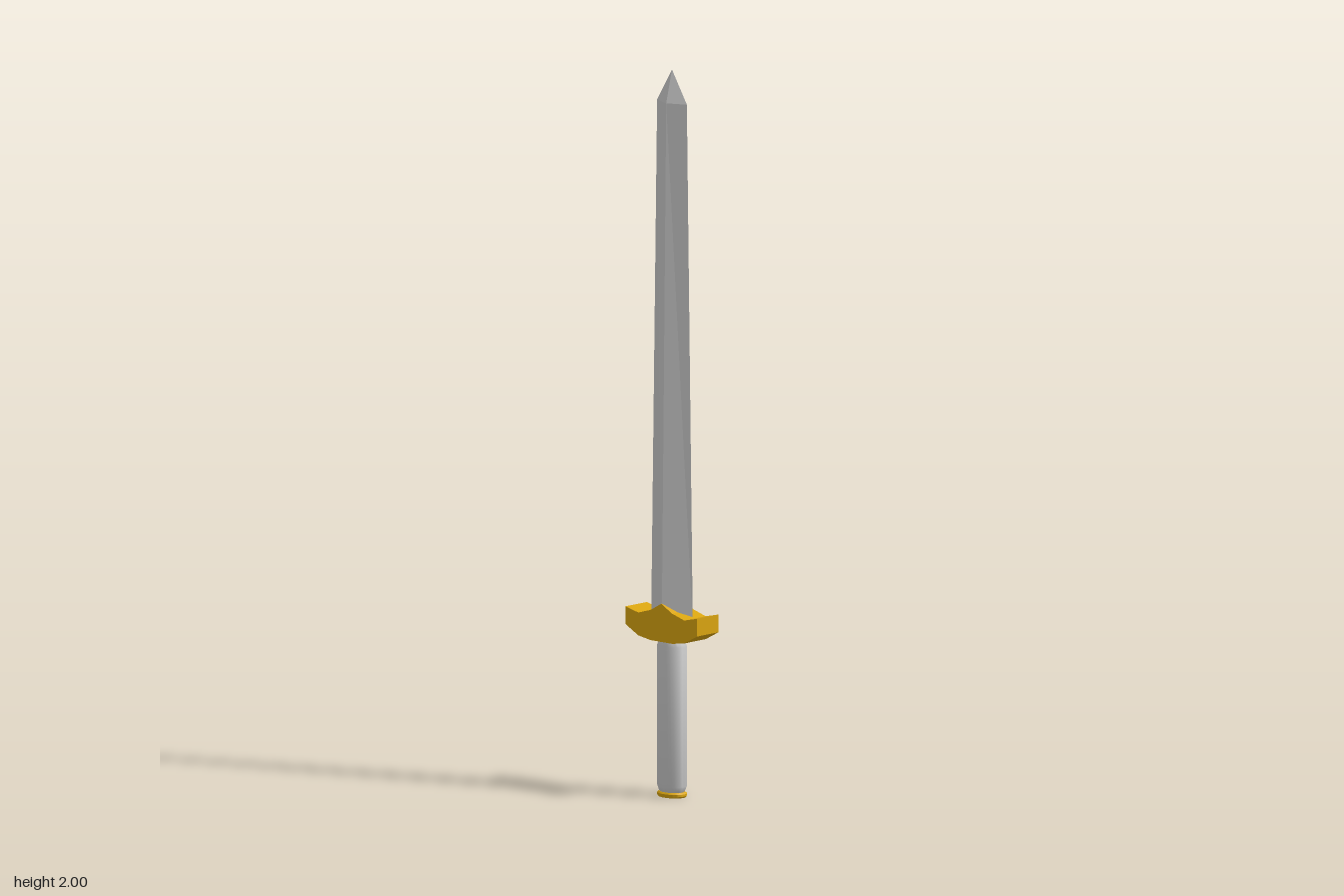
import * as THREE from 'three';
import { toCreasedNormals } from 'three/addons/utils/BufferGeometryUtils.js';

const steel = new THREE.MeshStandardMaterial({ color: 0xcccccc });
const gold = new THREE.MeshStandardMaterial({ color: 0xdaa510 });

function addPart(group, name, geometry, material) {
  const mesh = new THREE.Mesh(geometry, material);
  mesh.name = name;
  group.add(mesh);
}

// Diamond cross-sections [half width, y, half depth] joined into a tapering blade
function bladeGeometry() {
  const sections = [[0.077, 0.47, 0.0405], [0.055, 1.91, 0.023], [0, 2, 0]];
  const corners = sections.map(([w, y, d]) => [[w, y, 0], [0, y, d], [-w, y, 0], [0, y, -d]]);
  const positions = [];
  for (let s = 0; s < 2; s++) {
    for (let i = 0; i < 4; i++) {
      const j = (i + 1) % 4;
      const [a, b, c, d] = [corners[s][i], corners[s][j], corners[s + 1][j], corners[s + 1][i]];
      positions.push(...a, ...c, ...b);
      if (s === 0) positions.push(...a, ...d, ...c);
    }
  }
  // Closed underside, inside the guard
  const [a, b, c, d] = corners[0];
  positions.push(...a, ...b, ...c, ...a, ...c, ...d);
  const geometry = new THREE.BufferGeometry();
  geometry.setAttribute('position', new THREE.Float32BufferAttribute(positions, 3));
  geometry.computeVertexNormals();
  return geometry;
}

// Mirrored outline of the crossguard, extruded through its depth
function guardGeometry() {
  const half = [[0.04, 0.43], [0.085, 0.437], [0.132, 0.462], [0.132, 0.511],
    [0.085, 0.5], [0.04, 0.513], [0, 0.535]];
  const mirrored = half.slice(0, -1).reverse().map(([x, y]) => [-x, y]);
  const outline = [...half, ...mirrored].map(([x, y]) => new THREE.Vector2(x, y));
  const depth = 0.085;
  return new THREE.ExtrudeGeometry(new THREE.Shape(outline), { depth, bevelEnabled: false })
    .translate(0, 0, -depth / 2);
}

// Turned profile squashed to an oval
function ovalLathe(profile) {
  const geometry = new THREE.LatheGeometry(profile.map(([r, y]) => new THREE.Vector2(r, y)), 32);
  geometry.scale(1, 1, 0.76);
  return toCreasedNormals(geometry, 0.6);
}

export function createModel() {
  const group = new THREE.Group();
  group.name = 'sword';

  addPart(group, 'blade', bladeGeometry(), steel);
  addPart(group, 'crossguard', guardGeometry(), gold);
  addPart(group, 'grip', ovalLathe([[0, 0.012], [0.036, 0.012], [0.04, 0.018], [0.045, 0.03],
    [0.045, 0.415], [0.041, 0.427], [0.038, 0.435], [0, 0.435]]), steel);
  addPart(group, 'pommel', ovalLathe([[0, 0], [0.042, 0], [0.045, 0.004], [0.045, 0.01],
    [0.04, 0.014], [0, 0.014]]), gold);

  return group;
}
